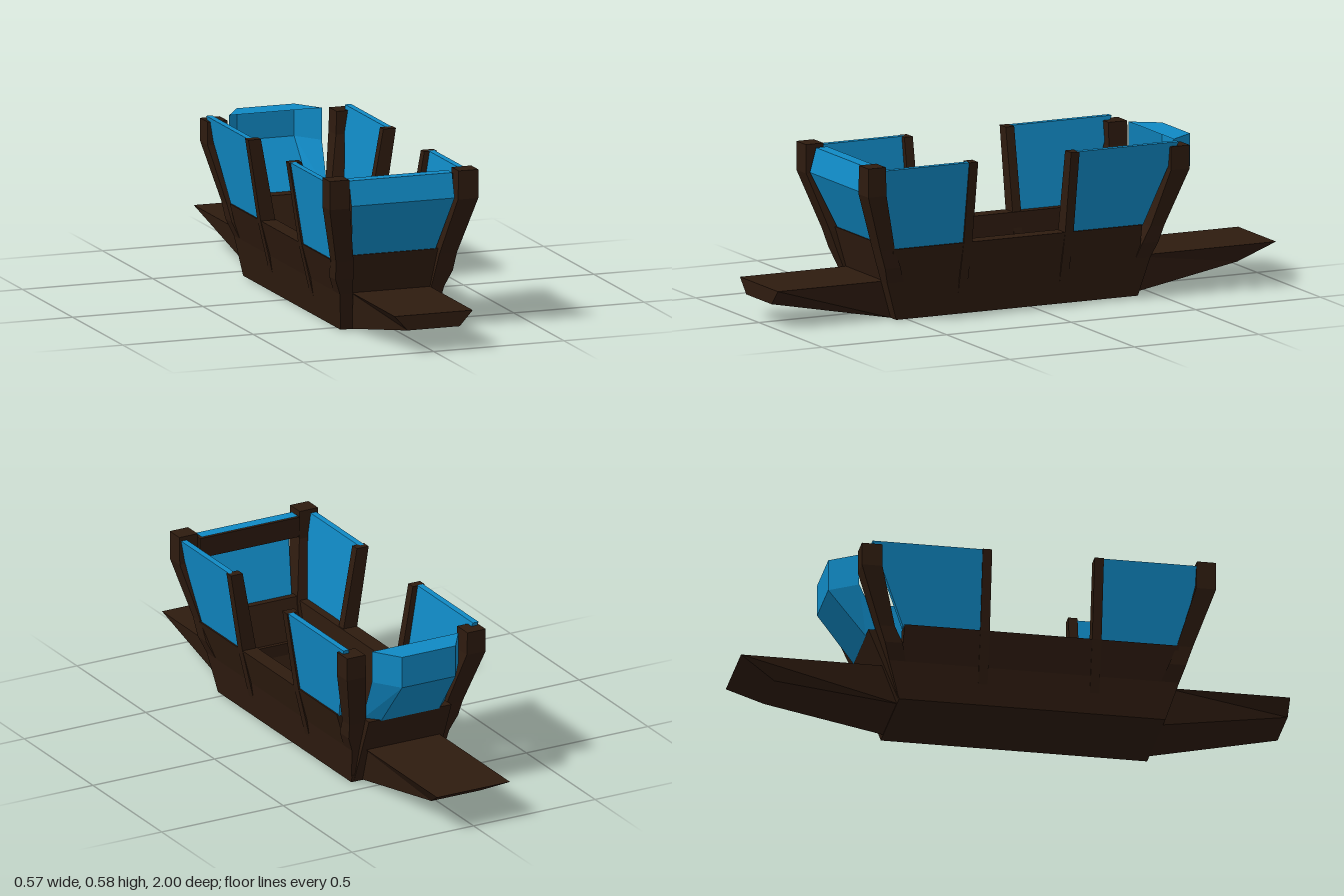
import * as THREE from 'three';

const brown = new THREE.MeshStandardMaterial({ color: 0x2e1b0f, flatShading: true });
const blue = new THREE.MeshStandardMaterial({ color: 0x1089c4, flatShading: true, side: THREE.DoubleSide });

// Flat-shaded mesh from quads given as lists of corner points
function quadMesh(name, quads, material) {
  const pos = [];
  for (const [a, b, c, d] of quads) pos.push(...a, ...b, ...c, ...a, ...c, ...d);
  const geo = new THREE.BufferGeometry();
  geo.setAttribute('position', new THREE.Float32BufferAttribute(pos, 3));
  geo.computeVertexNormals();
  const mesh = new THREE.Mesh(geo, material);
  mesh.name = name;
  return mesh;
}

// Closed solid through four-cornered rings; winding is turned outward by signed volume
function loft(name, rings, material) {
  let quads = [[...rings[0]].reverse(), rings[rings.length - 1]];
  for (let i = 0; i + 1 < rings.length; i++)
    for (let j = 0; j < 4; j++) {
      const k = (j + 1) % 4;
      quads.push([rings[i][j], rings[i][k], rings[i + 1][k], rings[i + 1][j]]);
    }
  const v = (p) => new THREE.Vector3(...p);
  let volume = 0;
  for (const [a, b, c, d] of quads) {
    volume += v(a).dot(v(b).cross(v(c))) + v(a).dot(v(c).cross(v(d)));
  }
  if (volume < 0) quads = quads.map((q) => [...q].reverse());
  return quadMesh(name, quads, material);
}

// Horizontal ring: x0..x1, z0..z1 at height y
const level = (y, x0, x1, z0, z1) => [[x0, y, z0], [x1, y, z0], [x1, y, z1], [x0, y, z1]];
// Cross-section at z: top half width, top y, bottom half width, bottom y
const section = (z, wt, yt, wb, yb) => [[-wt, yt, z], [wt, yt, z], [wb, yb, z], [-wb, yb, z]];
const flip = (s, ring) => ring.map(([x, y, z]) => [s * x, y, z]);

export function createModel() {
  const model = new THREE.Group();
  const add = (...meshes) => model.add(...meshes);

  // Tub: floor and end walls
  add(loft('floor', [level(0, -0.18, 0.18, -0.43, 0.54), level(0.03, -0.183, 0.183, -0.44, 0.545)], brown));
  add(loft('frontWall', [level(0, -0.17, 0.17, 0.49, 0.54), level(0.285, -0.17, 0.17, 0.58, 0.61)], brown));
  add(loft('backWall', [level(0, -0.17, 0.17, -0.43, -0.39), level(0.27, -0.17, 0.17, -0.54, -0.49)], brown));

  // Tapered prow and stern platforms
  add(loft('frontPlatform', [section(0.52, 0.15, 0.14, 0.135, 0), section(0.54, 0.15, 0.14, 0.135, 0),
    section(1, 0.15, 0.14, 0.1, 0.085)], brown));
  add(loft('backPlatform', [section(-0.42, 0.15, 0.14, 0.135, 0),
    [[-0.15, 0.14, -1], [0.15, 0.14, -1], [0.1, 0.07, -0.87], [-0.1, 0.07, -0.87]]], brown));

  for (const s of [1, -1]) {
    const side = s > 0 ? 'left' : 'right';
    const solid = (name, rings, mat) => add(loft(side + name, rings.map((r) => flip(s, r)), mat));

    // Flared side wall with a flat rim
    solid('SideWall', [level(0, 0.165, 0.18, -0.43, 0.54), level(0.14, 0.17, 0.2, -0.425, 0.56),
      level(0.27, 0.175, 0.235, -0.42, 0.58)], brown);

    // Corner posts lean outward, then stand upright
    solid('FrontPost', [level(0, 0.135, 0.18, 0.48, 0.54), level(0.14, 0.15, 0.2, 0.52, 0.586),
      level(0.2, 0.157, 0.225, 0.545, 0.607), level(0.27, 0.165, 0.232, 0.572, 0.63),
      level(0.48, 0.207, 0.285, 0.632, 0.705), level(0.585, 0.21, 0.285, 0.635, 0.705)], brown);
    solid('BackPost', [level(0, 0.135, 0.18, -0.43, -0.37), level(0.14, 0.15, 0.2, -0.47, -0.41),
      level(0.2, 0.157, 0.225, -0.49, -0.425), level(0.26, 0.165, 0.232, -0.51, -0.455),
      level(0.47, 0.207, 0.285, -0.585, -0.51), level(0.555, 0.21, 0.285, -0.585, -0.51)], brown);

    // Door posts either side of the entrance
    for (const [name, z] of [['FrontDoorPost', 0.28], ['BackDoorPost', -0.127]])
      solid(name, [level(0.03, 0.15, 0.18, z - 0.017, z + 0.017), level(0.27, 0.18, 0.236, z - 0.017, z + 0.017),
        level(0.57, 0.235, 0.283, z - 0.017, z + 0.017)], brown);

    // Coloured side panels above the rim
    solid('FrontSidePanel', [level(0.265, 0.205, 0.228, 0.285, 0.58), level(0.57, 0.255, 0.278, 0.285, 0.65)], blue);
    solid('BackSidePanel', [level(0.265, 0.205, 0.228, -0.425, -0.14), level(0.57, 0.255, 0.278, -0.545, -0.14)], blue);
  }

  // Front screen: sloping board, top band, ledge, and rail behind it
  const row = (w, y, z) => [[-w, y, z], [w, y, z]];
  const rows = [row(0.16, 0.285, 0.605), row(0.198, 0.485, 0.695), row(0.198, 0.573, 0.67), row(0.198, 0.573, 0.625)];
  add(quadMesh('frontScreen', rows.slice(1).map((r, i) => [rows[i][0], rows[i][1], r[1], r[0]]), blue));
  add(loft('frontRail', [level(0.49, -0.205, 0.205, 0.63, 0.665), level(0.568, -0.205, 0.205, 0.625, 0.66)], brown));

  // Bulging back rest: three facets around, two tiers up, closed by a top ledge
  const arc = (y, wo, zo, wi, zi) => [[-wo, y, zo], [-wi, y, zi], [wi, y, zi], [wo, y, zo]];
  const tiers = [arc(0.265, 0.168, -0.49, 0.12, -0.54), arc(0.44, 0.178, -0.575, 0.11, -0.675),
    arc(0.558, 0.178, -0.575, 0.11, -0.675)];
  const facets = [tiers[2]];
  for (let t = 0; t < 2; t++)
    for (let j = 0; j < 3; j++)
      facets.push([tiers[t][j + 1], tiers[t][j], tiers[t + 1][j], tiers[t + 1][j + 1]]);
  add(quadMesh('backRest', facets, blue));

  return model;
}
